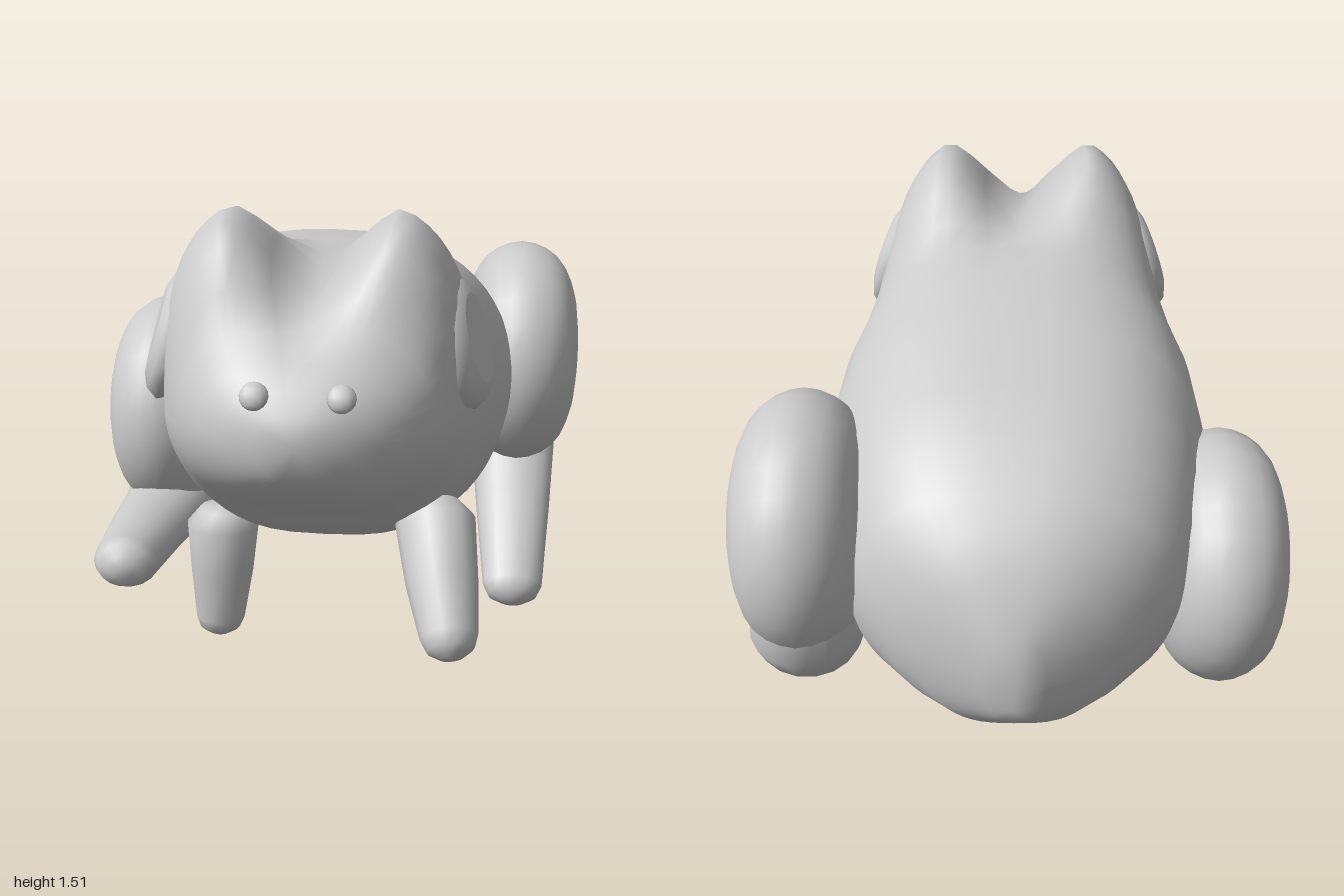
import * as THREE from 'three';
import { mergeVertices } from 'three/addons/utils/BufferGeometryUtils.js';

const material = new THREE.MeshStandardMaterial({ color: 0xcccccc, roughness: 0.8 });

function part(name, geometry, parent) {
  const mesh = new THREE.Mesh(geometry, material);
  mesh.name = name;
  parent.add(mesh);
  return mesh;
}

const lathe = (points, sides) =>
  new THREE.LatheGeometry(points.map(q => new THREE.Vector2(...q)), sides);

// Skin between closed rings of equal point count
function skin(rings) {
  const n = rings[0].length, index = [];
  for (let i = 0; i < rings.length - 1; i++) {
    for (let j = 0; j < n; j++) {
      const a = i * n + j, b = i * n + (j + 1) % n;
      index.push(a, a + n, b, b, a + n, b + n);
    }
  }
  let g = new THREE.BufferGeometry().setFromPoints(rings.flat());
  g.setIndex(index);
  g = mergeVertices(g, 1e-5);
  g.computeVertexNormals();
  return g;
}

// Tapered limb through points [x, y, z, radius, sideways radius] with rounded ends
function limb(points, sides = 14) {
  const p = points.map(q => new THREE.Vector3(q[0], q[1], q[2]));
  const last = p.length - 1, rings = [];
  p.forEach((c, i) => {
    const d = p[Math.min(i + 1, last)].clone().sub(p[Math.max(i - 1, 0)]).normalize();
    const u = new THREE.Vector3(1, 0, 0).addScaledVector(d, -d.x).normalize();
    const v = u.clone().cross(d);
    const [r, w = r] = points[i].slice(3);
    // angle 0 is the full ring, 90 the closed tip
    const ring = (degrees, bulge) => rings.push(Array.from({ length: sides }, (_, j) => {
      const t = j / sides * Math.PI * 2, a = degrees * Math.PI / 180, k = Math.cos(a);
      return c.clone().addScaledVector(d, bulge * r * Math.sin(a))
        .addScaledVector(u, k * w * Math.cos(t)).addScaledVector(v, k * r * Math.sin(t));
    }));
    if (i === 0) [90, 50].forEach(a => ring(a, -0.6));
    ring(0, 0);
    if (i === last) [35, 65, 90].forEach(a => ring(a, 0.8));
  });
  return skin(rings);
}

// Body cross-sections: z, half width, top at the middle, bottom, rise of the brows
const SECTIONS = [
  [1.0, 0, 1.03, 1.03, 0], [0.97, 0.11, 1.1, 0.93, 0], [0.93, 0.2, 1.15, 0.88, 0],
  [0.87, 0.275, 1.2, 0.825, 0], [0.79, 0.34, 1.24, 0.77, 0.04], [0.74, 0.365, 1.25, 0.74, 0.14],
  [0.68, 0.39, 1.255, 0.7, 0.23], [0.6, 0.41, 1.26, 0.645, 0.275], [0.5, 0.43, 1.27, 0.57, 0.275],
  [0.42, 0.445, 1.28, 0.52, 0.245], [0.34, 0.46, 1.3, 0.47, 0.18], [0.25, 0.485, 1.32, 0.42, 0.085],
  [0.15, 0.515, 1.33, 0.38, 0.02], [0, 0.555, 1.33, 0.32, 0], [-0.2, 0.575, 1.28, 0.285, 0],
  [-0.45, 0.55, 1.21, 0.285, 0], [-0.6, 0.51, 1.15, 0.3, 0], [-0.73, 0.455, 1.07, 0.33, 0],
  [-0.82, 0.36, 1.0, 0.35, 0], [-0.89, 0.26, 0.91, 0.38, 0], [-0.97, 0.09, 0.77, 0.47, 0],
  [-1.0, 0, 0.54, 0.54, 0],
];

function bodyGeometry() {
  const n = 56;
  return skin(SECTIONS.map(([z, w, top, bottom, brow]) => Array.from({ length: n }, (_, j) => {
    const t = j / n * Math.PI * 2, s = Math.sin(t), c = Math.cos(t);
    const mid = (top + bottom) / 2, upper = s > 0;
    // full flanks, a squarer head, and a V groove between the brows
    const x = w * Math.sign(c) * Math.abs(c) ** (upper ? 0.78 - 0.57 * brow : 0.68);
    const rise = Math.abs(s) ** (upper ? 0.98 - 0.8 * brow : 1.06);
    const groove = brow * Math.max(0, 1 - Math.abs(x) / 0.23) ** 1.2;
    const y = upper ? mid + (top + brow - mid) * rise - groove : mid - (mid - bottom) * rise;
    return new THREE.Vector3(x, y, z);
  })));
}

// Hind leg about the centre of its thigh
function hindLeg(name, x, y, z, swing) {
  const leg = new THREE.Group();
  leg.name = name;
  const profile = new THREE.SplineCurve([[0, -0.2], [0.2, -0.183], [0.33, -0.12], [0.38, 0],
    [0.33, 0.12], [0.2, 0.183], [0, 0.2]].map(q => new THREE.Vector2(...q))).getPoints(18);
  profile[0].x = profile[18].x = 0;
  const thigh = part('thigh', new THREE.LatheGeometry(profile, 24), leg);
  thigh.rotation.z = -Math.PI / 2;
  part('shin', limb([[0, -0.02, -0.1, 0.12, 0.12], [0, -0.14, -0.18, 0.145, 0.145],
    [0, -0.24, -0.18, 0.145, 0.155], [0, -0.32, -0.135, 0.125, 0.155], [0, -0.385, -0.055, 0.105, 0.148],
    [0, -0.53, 0.15, 0.092, 0.128], [0, -0.715, 0.395, 0.083, 0.1]], 18), leg);
  leg.position.set(x, y, z);
  leg.rotation.x = swing;
  return leg;
}

export function createModel() {
  const frog = new THREE.Group();
  frog.name = 'frog';
  part('body', bodyGeometry(), frog);

  // Eyes and nostrils
  for (const side of [-1, 1]) {
    const eye = new THREE.Group();
    eye.name = side > 0 ? 'leftEye' : 'rightEye';
    part('eyeRim', lathe([[0, -0.1], [0.17, -0.075], [0.188, -0.035], [0.165, -0.003], [0.125, 0.013]], 18), eye);
    part('eyeDisc', lathe([[0.125, 0.013], [0, 0.013]], 18), eye);
    eye.position.set(side * 0.432, 1.16, 0.505);
    eye.quaternion.setFromUnitVectors(new THREE.Vector3(0, 1, 0),
      new THREE.Vector3(side * 0.94, 0.29, 0.16).normalize());
    frog.add(eye);

    const nostril = part(side > 0 ? 'leftNostril' : 'rightNostril', new THREE.SphereGeometry(0.037, 12, 8), frog);
    nostril.position.set(side * 0.108, 1.138, 0.935);
    nostril.rotation.x = -0.6;
    nostril.scale.z = 0.65;
  }

  // Front legs, one reaching forward
  part('leftFrontLeg', limb([[0.34, 0.57, 0.43, 0.118], [0.365, 0.44, 0.56, 0.105], [0.39, 0.335, 0.685, 0.083]]), frog);
  part('rightFrontLeg', limb([[-0.33, 0.43, 0.22, 0.113], [-0.335, 0.28, 0.23, 0.1], [-0.342, 0.115, 0.25, 0.078]]), frog);

  // Hind legs, the right one swung forward
  frog.add(hindLeg('leftHindLeg', 0.605, 0.79, -0.495, 0));
  frog.add(hindLeg('rightHindLeg', -0.605, 0.595, -0.395, -0.785));

  // Small crossed mark under the rump
  const mark = new THREE.Group();
  mark.name = 'rumpMark';
  for (const turn of [-Math.PI / 4, Math.PI / 4]) {
    const bar = part('markBar', new THREE.CapsuleGeometry(0.011, 0.12, 3, 8), mark);
    bar.rotation.z = turn;
  }
  mark.position.set(0, 0.335, -0.75);
  mark.rotation.x = Math.PI / 2 + 0.2;
  frog.add(mark);

  return frog;
}
